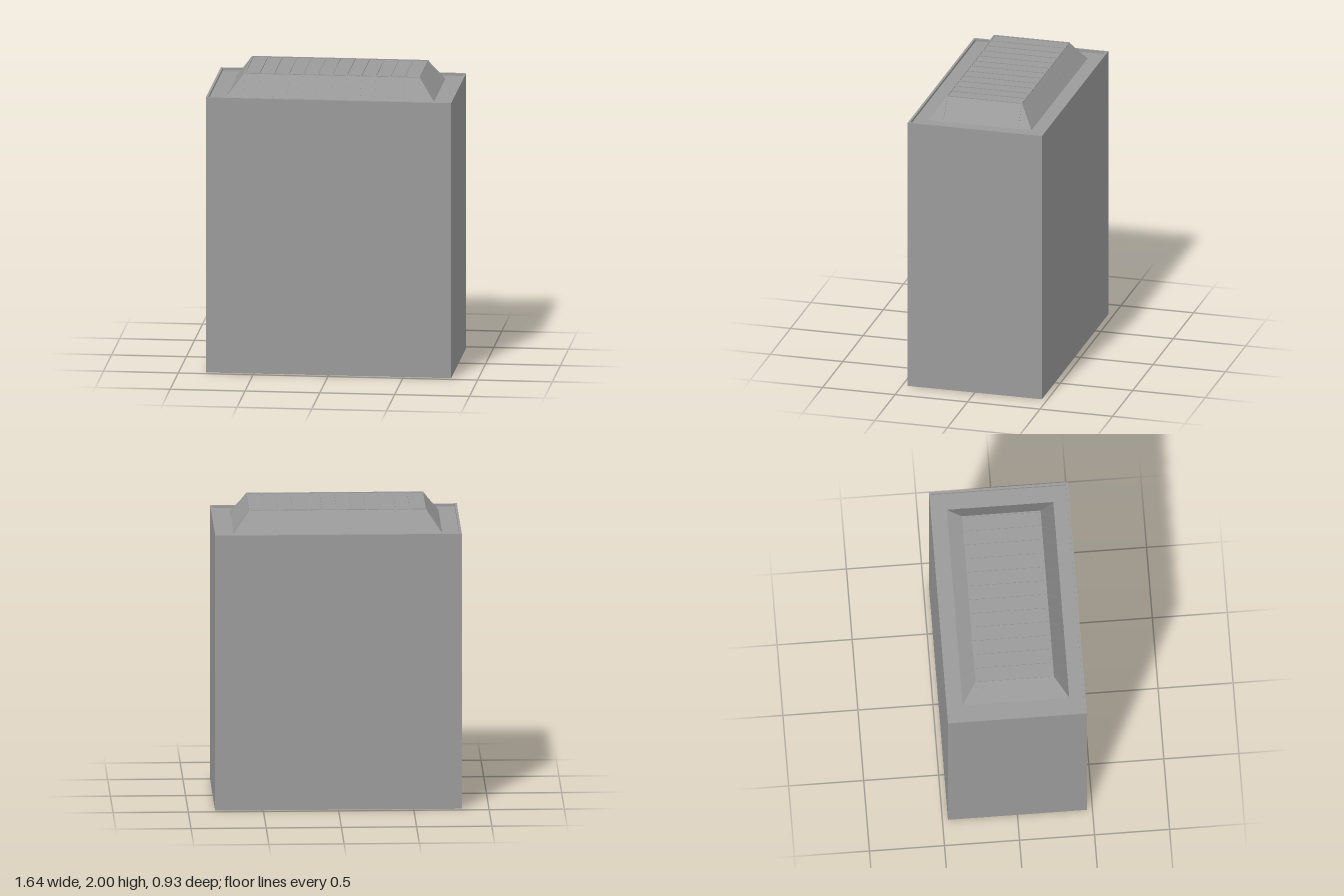
import * as THREE from 'three';

const material = new THREE.MeshStandardMaterial({ color: 0x9b9b9b });

function addMesh(parent, name, geometry) {
  const mesh = new THREE.Mesh(geometry, material);
  mesh.name = name;
  parent.add(mesh);
  return mesh;
}

// Closed solid through stacked rectangles, each given as [halfX, y, halfZ]
function rectLoft(sections) {
  const positions = [];
  const index = [];
  for (const [x, y, z] of sections) {
    positions.push(-x, y, z, x, y, z, x, y, -z, -x, y, -z);
  }
  for (let s = 0; s < sections.length - 1; s++) {
    for (let i = 0; i < 4; i++) {
      const a = s * 4 + i;
      const b = s * 4 + (i + 1) % 4;
      index.push(a, b, b + 4, a, b + 4, a + 4);
    }
  }
  const t = (sections.length - 1) * 4;
  index.push(0, 2, 1, 0, 3, 2, t, t + 1, t + 2, t, t + 2, t + 3);
  const geometry = new THREE.BufferGeometry();
  geometry.setAttribute('position', new THREE.Float32BufferAttribute(positions, 3));
  geometry.setIndex(index);
  const flat = geometry.toNonIndexed();
  flat.computeVertexNormals();
  return flat;
}

const FLOOR = 1.855; // sunken roof level
const TOP = 2;
const BAR = 0.009; // glazing bar thickness

// Thin trapezoid slab whose edge stands just proud of the glass
function barGeometry(baseHalf, topHalf) {
  const shape = new THREE.Shape([
    new THREE.Vector2(-baseHalf, FLOOR),
    new THREE.Vector2(baseHalf, FLOOR),
    new THREE.Vector2(topHalf, TOP),
    new THREE.Vector2(-topHalf, TOP),
  ]);
  const geometry = new THREE.ExtrudeGeometry(shape, { depth: BAR, bevelEnabled: false });
  return geometry.translate(0, 0, -BAR / 2);
}

export function createModel() {
  const model = new THREE.Group();
  model.name = 'building';

  // Main block with a narrow parapet around the sunken roof
  addMesh(model, 'buildingBlock', rectLoft([
    [0.82, 0, 0.463],
    [0.82, 1.872, 0.463],
    [0.805, 1.872, 0.448],
    [0.805, FLOOR, 0.448],
  ]));

  const skylight = new THREE.Group();
  skylight.name = 'skylight';
  model.add(skylight);

  // Sloped glass body
  addMesh(skylight, 'skylightGlass', rectLoft([
    [0.693, FLOOR, 0.355],
    [0.588, 1.995, 0.262],
  ]));

  // Cross bars running over the skylight from front to back
  const crossBar = barGeometry(0.357, 0.261).rotateY(Math.PI / 2);
  const barCount = 13;
  for (let i = 0; i < barCount; i++) {
    const bar = addMesh(skylight, 'crossBar', crossBar);
    bar.position.x = -0.583 + (1.166 * i) / (barCount - 1);
  }

  // Long rails along both top edges, running down the end slopes
  const rail = barGeometry(0.697, 0.588);
  for (const side of [-1, 1]) {
    addMesh(skylight, 'longRail', rail).position.z = side * 0.257;
  }

  return model;
}
